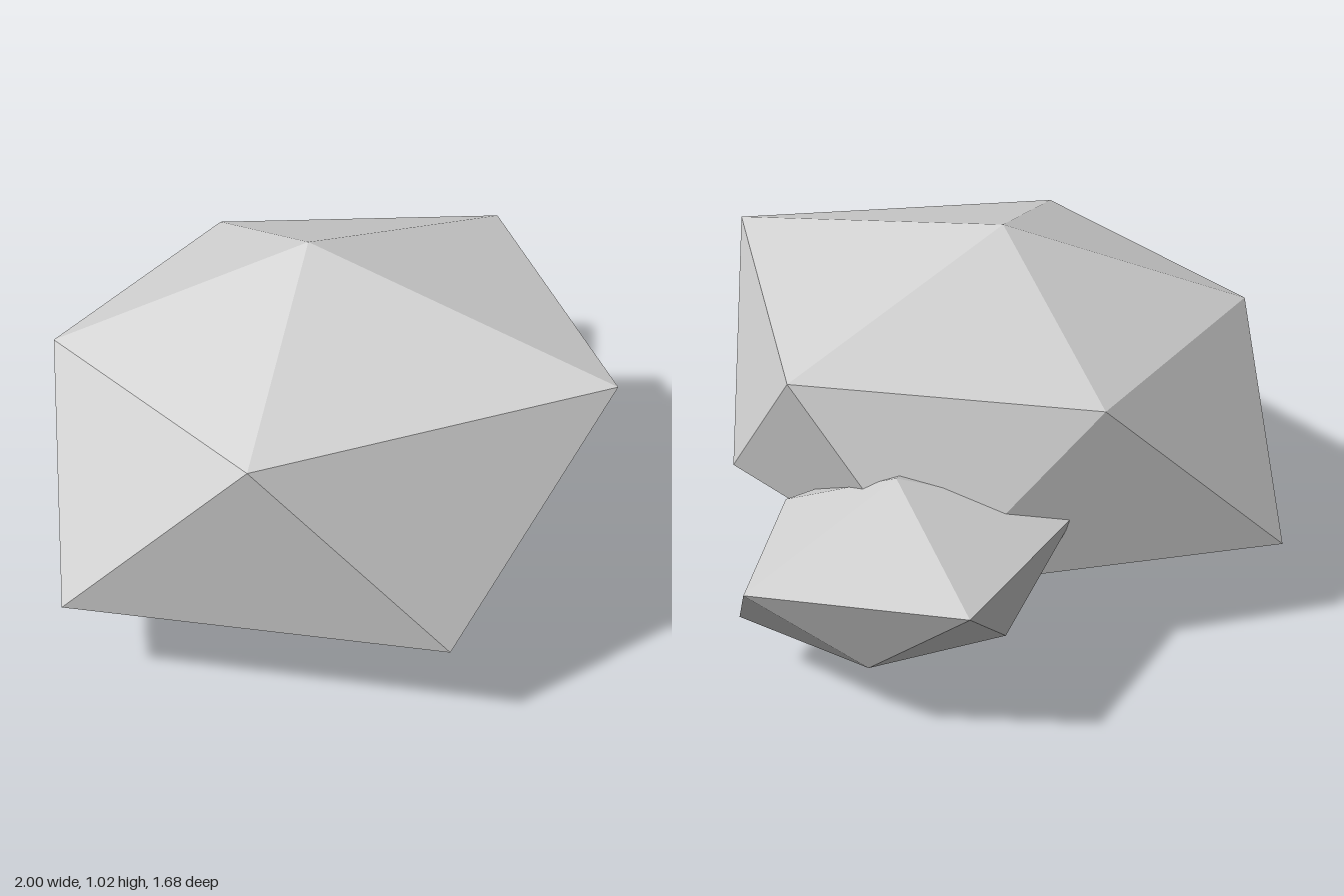
import * as THREE from 'three';

// Irregular twenty-sided rock: two poles with an upper and a lower ring of five corners
function rockGeometry(top, bottom, upper, lower) {
  const p = [];
  const face = (...corners) => corners.forEach((c) => p.push(...c));
  for (let i = 0; i < 5; i++) {
    const j = (i + 1) % 5;
    face(top, upper[j], upper[i]);
    face(upper[i], upper[j], lower[i]);
    face(lower[i], upper[j], lower[j]);
    face(bottom, lower[i], lower[j]);
  }
  const g = new THREE.BufferGeometry();
  g.setAttribute('position', new THREE.Float32BufferAttribute(p, 3));
  g.computeVertexNormals();
  return g;
}

export function createModel() {
  const group = new THREE.Group();
  group.name = 'rocks';
  const stone = new THREE.MeshStandardMaterial({ color: 0xd1d1d1 });
  stone.name = 'light grey stone';
  stone.flatShading = true;

  const add = (name, ...corners) => {
    const mesh = new THREE.Mesh(rockGeometry(...corners), stone);
    mesh.name = name;
    group.add(mesh);
  };

  // Large boulder
  add('largeRock', [-0.12, 1.02, -0.005], [-0.12, 0, -0.005],
    [[0.635, 0.8, -0.01], [0.16, 0.847, 0.84], [-0.705, 0.79, 0.41], [-0.675, 0.765, -0.415], [0.07, 0.755, -0.6]],
    [[0.51, 0.3, 0.45], [-0.39, 0.275, 0.81], [-1, 0.27, -0.01], [-0.39, 0.27, -0.845], [0.49, 0.31, -0.41]]);

  // Small stone half sunk into the boulder's back left side
  add('smallRock', [0.51, 0.595, -0.29], [0.51, 0.08, -0.29],
    [[1, 0.46, -0.29], [0.62, 0.42, 0.045], [0.13, 0.43, -0.03], [0.13, 0.45, -0.56], [0.65, 0.455, -0.73]],
    [[0.85, 0.19, -0.04], [0.37, 0.18, 0.14], [0.02, 0.2, -0.29], [0.41, 0.22, -0.6], [0.76, 0.22, -0.47]]);

  return group;
}
